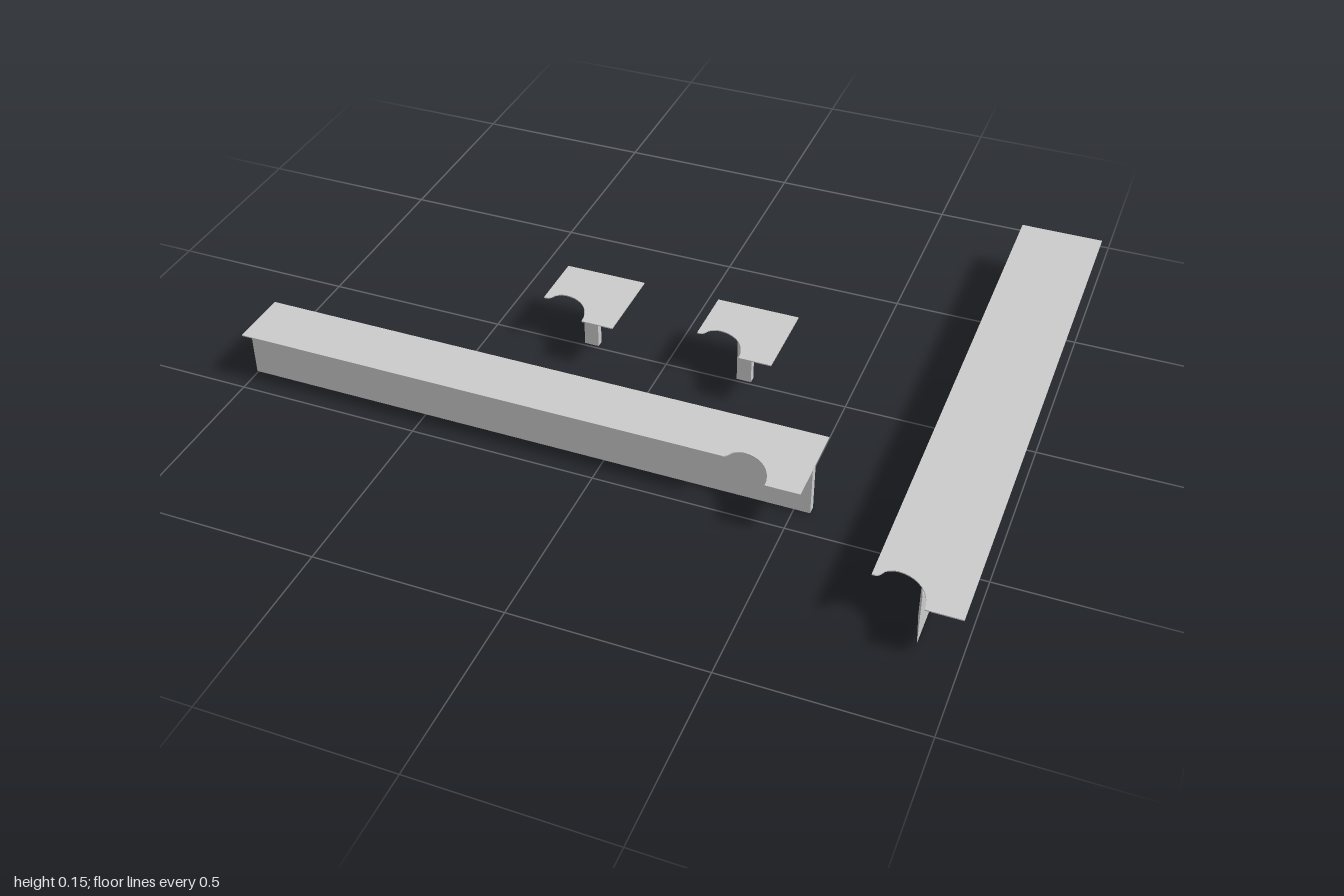
import * as THREE from 'three';

const TOP = 0.15, SHEET = 0.003, TILE = 0.225;

export function createModel() {
  const model = new THREE.Group();
  const mat = new THREE.MeshStandardMaterial({ color: 0xcccccc, flatShading: true, side: THREE.DoubleSide });

  // Raise a plan outline of [x, z] points from y0 to y1
  function prism(name, pts, y0, y1, parent) {
    const shape = pts instanceof THREE.Shape ? pts
      : new THREE.Shape(pts.map(([x, z]) => new THREE.Vector2(x, -z)));
    const geo = new THREE.ExtrudeGeometry(shape, { depth: y1 - y0, bevelEnabled: false, curveSegments: 10 });
    geo.rotateX(-Math.PI / 2);
    geo.translate(0, y0, 0);
    const mesh = new THREE.Mesh(geo, mat);
    mesh.name = name;
    parent.add(mesh);
  }

  // Thin cap: corner tile with a scooped front corner, optionally extended left or back
  function cap(x0, z1, left, back, parent) {
    const x1 = x0 + TILE, z0 = z1 - TILE - back;
    const s = new THREE.Shape();
    s.moveTo(x1, -z1);
    s.lineTo(x1, -z0);
    s.lineTo(x0 - left, -z0);
    s.lineTo(x0 - left, -(z1 - 0.064));
    s.lineTo(x0 + 0.008, -(z1 - 0.064));
    // small concave lip, then the round scoop
    s.quadraticCurveTo(x0 + 0.018, -(z1 - 0.066), x0 + 0.024, -(z1 - 0.082));
    s.quadraticCurveTo(x0 + 0.036, -(z1 - 0.094), x0 + 0.052, -(z1 - 0.094));
    s.bezierCurveTo(x0 + 0.1, -(z1 - 0.094), x0 + 0.137, -(z1 - 0.052), x0 + 0.137, -z1);
    prism('cap', s, TOP - SHEET, TOP, parent);
  }

  function piece(name) {
    const g = new THREE.Group();
    g.name = name;
    model.add(g);
    return g;
  }

  // Long piece running left to right
  const front = piece('frontBeam');
  cap(0.32, 0.535, 1.32, 0, front);
  prism('web', [[-1, 0.41], [0.543, 0.41], [0.543, 0.432], [-1, 0.432]], 0.005, TOP - SHEET, front);

  // Long piece running front to back, its web bevelled at the scooped end
  const side = piece('sideBeam');
  cap(0.773, 0.793, 0, 1.363, side);
  prism('web', [[0.875, -0.793], [0.895, -0.793], [0.895, 0.755], [0.875, 0.67]], 0.005, TOP - SHEET, side);

  // Two small tiles on L-shaped posts
  [-0.341, 0.097].forEach((x0, i) => {
    const g = piece('cornerTile' + (i + 1));
    const z1 = 0.091;
    cap(x0, z1, 0, 0, g);
    const x = x0 + 0.1, z = z1 - 0.1, l = 0.04, t = 0.02;
    prism('post', [[x, z], [x + l, z], [x + l, z - t], [x + t, z - t], [x + t, z - l], [x, z - l]], 0, TOP - SHEET, g);
  });
  return model;
}
